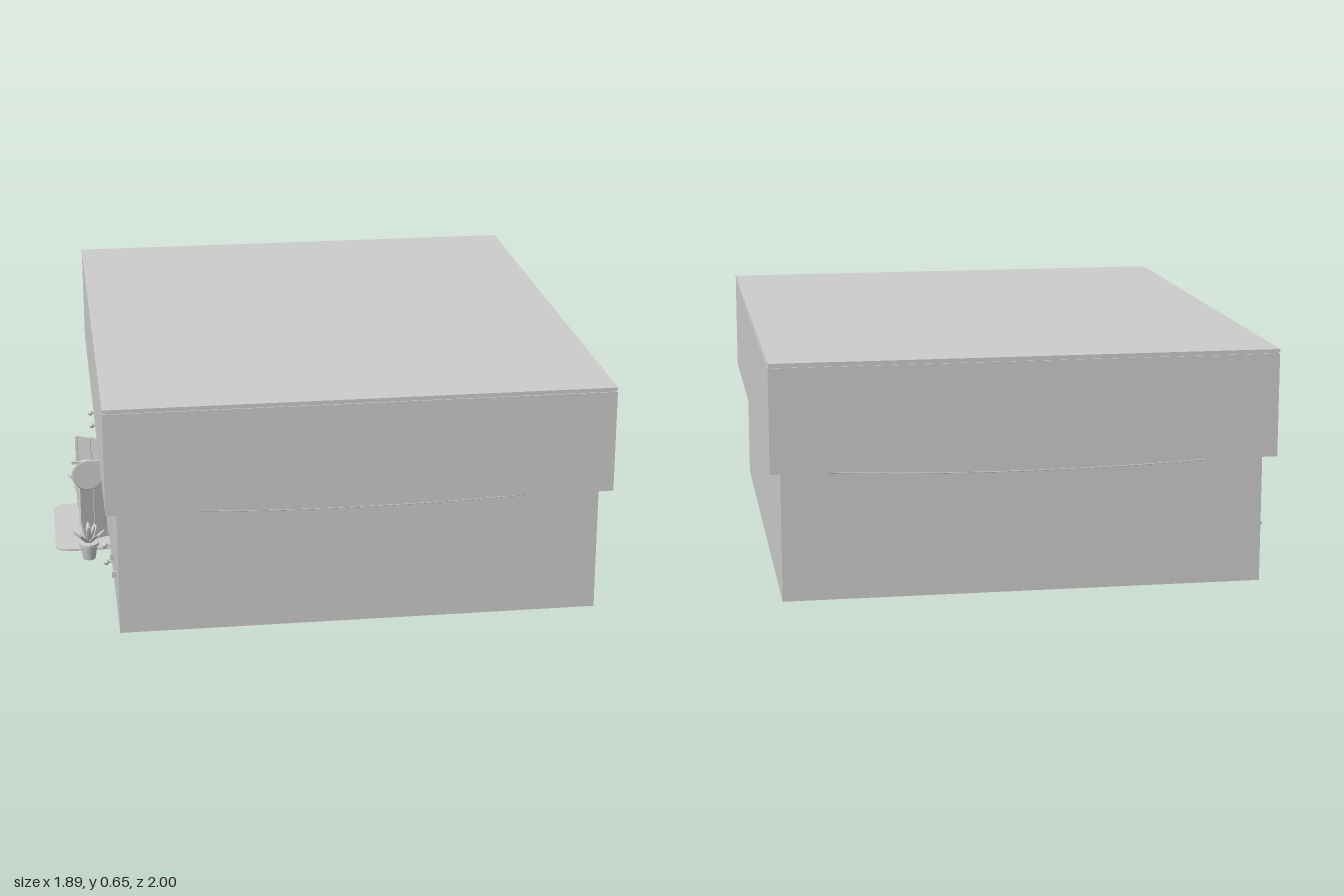
import * as THREE from 'three';

const grey = new THREE.MeshStandardMaterial({ color: 0xcccccc, side: THREE.DoubleSide });
grey.name = 'plain grey';

const A = 0.651, B = 0.75; // half sizes of the ground floor
const C = 0.681, D = 0.789; // half sizes of the upper storey
const T = 0.006; // wall thickness

function add(parent, name, geometry, x = 0, y = 0, z = 0) {
  const mesh = new THREE.Mesh(geometry, grey);
  mesh.name = name;
  mesh.position.set(x, y, z);
  parent.add(mesh);
  return mesh;
}

// Box given by its lower and upper limits on each axis
function block(parent, name, x0, x1, y0, y1, z0, z1) {
  return add(parent, name, new THREE.BoxGeometry(x1 - x0, y1 - y0, z1 - z0),
    (x0 + x1) / 2, (y0 + y1) / 2, (z0 + z1) / 2);
}

// Door leaf with raised stiles, hinged at its own origin and reaching towards -x
function doorLeaf(parent, side) {
  const leaf = new THREE.Group();
  leaf.name = 'doorLeaf';
  leaf.position.set(-A, 0, side * 0.098);
  leaf.rotation.y = side * 0.44;
  parent.add(leaf);
  block(leaf, 'doorPanel', -0.093, 0, 0.015, 0.245, -0.003, 0.003);
  for (const x of [-0.093, -0.05, -0.008])
    block(leaf, 'doorStile', x, x + 0.008, 0.015, 0.245, -0.006, 0.006);
  if (side < 0) {
    const disc = add(leaf, 'doorDisc', new THREE.CylinderGeometry(0.03, 0.03, 0.016, 24), -0.048, 0.058, 0);
    disc.rotation.x = Math.PI / 2;
  }
}

function pottedPlant(parent, z) {
  const plant = new THREE.Group();
  plant.name = 'pottedPlant';
  plant.position.set(-0.715, 0, z);
  parent.add(plant);
  add(plant, 'pot', new THREE.CylinderGeometry(0.025, 0.018, 0.042, 16), 0, 0.021, 0);
  add(plant, 'potRim', new THREE.CylinderGeometry(0.029, 0.029, 0.008, 16), 0, 0.046, 0);
  // Leaves fan out from the pot in two rings
  for (let i = 0; i < 12; i++) {
    const holder = new THREE.Group();
    holder.name = 'leafHolder';
    holder.position.y = 0.045;
    holder.rotation.y = i * Math.PI / 6;
    plant.add(holder);
    const tilt = i % 2 ? 0.35 : 0.85;
    const leaf = add(holder, 'leaf', new THREE.SphereGeometry(1, 8, 6), Math.sin(tilt) * 0.032, Math.cos(tilt) * 0.032, 0);
    leaf.scale.set(0.003, 0.032, 0.008);
    leaf.rotation.z = -tilt;
  }
}

// Wire sagging between two corners
function wire(parent, x0, z0, x1, z1) {
  const y = 0.357;
  const curve = new THREE.QuadraticBezierCurve3(
    new THREE.Vector3(x0, y, z0),
    new THREE.Vector3((x0 + x1) / 2, y - 0.046, (z0 + z1) / 2),
    new THREE.Vector3(x1, y, z1));
  add(parent, 'saggingWire', new THREE.TubeGeometry(curve, 24, 0.0015, 5));
}

export function createModel() {
  const model = new THREE.Group();
  model.name = 'shopBuilding';
  const shop = new THREE.Group();
  shop.name = 'shop';
  shop.rotation.y = THREE.MathUtils.degToRad(24.05);
  model.add(shop);

  // Ground floor: hollow, open below, with a doorway in the -x wall
  const H = 0.36;
  block(shop, 'plainWall', A - T, A, 0, H, -B, B);
  for (const s of [-1, 1]) {
    block(shop, 'sideWall', -A, A, 0, H, s * (B - T / 2) - T / 2, s * (B - T / 2) + T / 2);
    block(shop, 'entranceWall', -A, -A + T, 0, H, s < 0 ? -B : 0.098, s < 0 ? -0.098 : B);
  }
  block(shop, 'doorLintel', -A + 0.001, -A + T, 0.24, H, -0.098, 0.098);

  // Upper storey: soffit ring, walls and flat roof
  for (const s of [-1, 1]) {
    const x = s * (C + A - T) / 2, w = (C - A + T) / 2;
    const z = s * (D + B - T) / 2, d = (D - B + T) / 2;
    block(shop, 'soffit', x - w, x + w, 0.355, 0.361, -D, D);
    block(shop, 'soffit', -A, A, 0.355, 0.361, z - d, z + d);
    const cx = s * (C - T / 2), cz = s * (D - T / 2);
    block(shop, 'upperWall', cx - T / 2, cx + T / 2, 0.355, 0.636, -D, D);
    block(shop, 'upperWall', -C, C, 0.355, 0.636, cz - T / 2, cz + T / 2);
    wire(shop, -A - 0.01, s * (B + 0.01), A + 0.01, s * (B + 0.01));
    wire(shop, s * (A + 0.01), -B - 0.01, s * (A + 0.01), B + 0.01);
  }
  block(shop, 'roofGroove', -C + 0.003, C - 0.003, 0.634, 0.641, -D + 0.003, D - 0.003);
  block(shop, 'roof', -C, C, 0.64, 0.648, -D, D);

  // Doormats: rounded one outside, plain one inside
  const mat = new THREE.Shape();
  mat.moveTo(-0.655, -0.18);
  mat.lineTo(-0.765, -0.18);
  mat.quadraticCurveTo(-0.81, -0.18, -0.81, -0.135);
  mat.lineTo(-0.81, 0.135);
  mat.quadraticCurveTo(-0.81, 0.18, -0.765, 0.18);
  mat.lineTo(-0.655, 0.18);
  mat.closePath();
  const matGeometry = new THREE.ExtrudeGeometry(mat, { depth: 0.006, bevelEnabled: false, curveSegments: 8 });
  matGeometry.rotateX(Math.PI / 2);
  add(shop, 'outerMat', matGeometry, 0, 0.01, 0);
  block(shop, 'innerMat', -0.66, -0.55, 0, 0.004, -0.16, 0.16);

  // Open doors and plants either side of the entrance
  for (const s of [-1, 1]) {
    doorLeaf(shop, s);
    pottedPlant(shop, s * 0.228);
  }

  // Round sign hanging from a bracket
  block(shop, 'signBracket', -0.755, -A, 0.282, 0.29, 0.196, 0.204);
  block(shop, 'signMount', -A - 0.006, -A, 0.265, 0.3, 0.188, 0.212);
  const sign = add(shop, 'roundSign', new THREE.CylinderGeometry(0.042, 0.042, 0.012, 32), -0.71, 0.248, 0.2);
  sign.rotation.x = Math.PI / 2;
  const rim = add(shop, 'signRim', new THREE.TorusGeometry(0.042, 0.005, 8, 32), -0.71, 0.248, 0.2);
  rim.name = 'signRim';

  // Board hung at a slant on the wall
  const board = add(shop, 'slantedBoard', new THREE.BoxGeometry(0.008, 0.15, 0.14), -A - 0.004, 0.185, 0.305);
  board.rotation.x = -0.16;

  // Small wall lamps
  for (const z of [-0.65, -0.53, 0.46, 0.58]) {
    block(shop, 'lampArm', -A - 0.024, -A + 0.008, 0.133, 0.137, z - 0.002, z + 0.002);
    add(shop, 'lampHead', new THREE.SphereGeometry(0.008, 10, 8), -A - 0.025, 0.135, z);
    block(shop, 'lampStem', -A - 0.012, -A, 0.095, 0.112, z + 0.01, z + 0.016);
  }
  return model;
}
